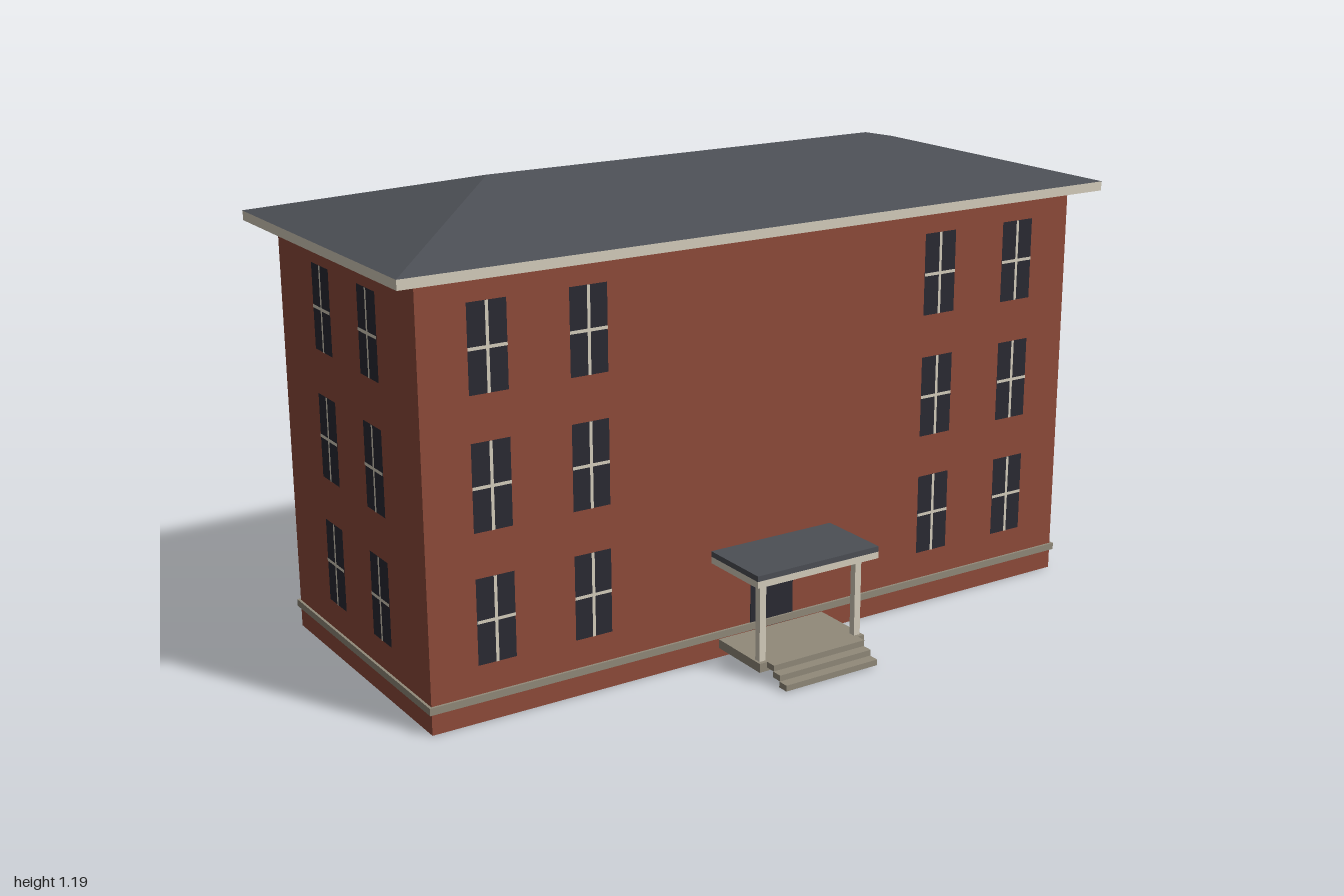
import * as THREE from 'three';

const mat = (name, color, side = THREE.FrontSide) => {
  const m = new THREE.MeshStandardMaterial({ color, side });
  m.name = name;
  return m;
};

export function createModel() {
  const brick = mat('brick', 0x8e4b3a, THREE.DoubleSide);
  const cream = mat('cream trim', 0xd6cebd);
  const stone = mat('stone', 0x918a7a);
  const slate = mat('slate roof', 0x4c4f55);
  const glass = mat('dark glass', 0x2a2a33);

  const model = new THREE.Group();
  model.name = 'building';

  // Box given by its extents on each axis
  function box(name, material, [x0, x1], [y0, y1], [z0, z1], parent = model) {
    const mesh = new THREE.Mesh(new THREE.BoxGeometry(x1 - x0, y1 - y0, z1 - z0), material);
    mesh.position.set((x0 + x1) / 2, (y0 + y1) / 2, (z0 + z1) / 2);
    mesh.name = name;
    parent.add(mesh);
  }

  // Flat panel facing +z
  function panel(name, material, w, h, y, z, parent) {
    const mesh = new THREE.Mesh(new THREE.PlaneGeometry(w, h), material);
    mesh.position.set(0, y, z);
    mesh.name = name;
    parent.add(mesh);
  }

  const W = 0.935, FRONT = 0.281, BACK = -0.473, MID = (FRONT + BACK) / 2;
  const D = FRONT - MID, EAVE = 1.053, ROOF = 1.077;

  // Window: glass pane with a cross of glazing bars
  function addWindow(x, y, z, wall) {
    const g = new THREE.Group();
    g.name = 'window';
    panel('pane', glass, 0.098, 0.21, 0, 0.001, g);
    panel('verticalBar', cream, 0.008, 0.21, 0, 0.0022, g);
    panel('horizontalBar', cream, 0.098, 0.008, 0, 0.0022, g);
    g.position.set(x, y, z);
    wall.add(g);
  }

  // Four walls of a shell open below, each with its base course and windows
  const longRow = [-3, -2, -1, 0, 1, 2, 3].map((i) => i * 0.255);
  const sides = [
    ['front', 0, W, D, longRow.filter((x) => Math.abs(x) > 0.3)],
    ['left', Math.PI / 2, D, W, [-0.128, 0.128]],
    ['back', Math.PI, W, D, longRow],
    ['right', -Math.PI / 2, D, W, [-0.128, 0.128]],
  ];
  for (const [name, turn, half, out, columns] of sides) {
    const wall = new THREE.Group();
    wall.name = name + 'Wall';
    panel('brickwork', brick, 2 * half, EAVE, EAVE / 2, out, wall);
    box('baseCourse', stone, [-half - 0.007, half + 0.007], [0.053, 0.071],
      [out + 0.0005, out + 0.007], wall);
    for (const y of [0.247, 0.566, 0.886]) {
      for (const x of columns) addWindow(x, y, out, wall);
    }
    wall.rotation.y = turn;
    wall.position.z = MID;
    model.add(wall);
  }

  // Eaves
  box('eaves', cream, [-0.999, 0.999], [EAVE, ROOF], [MID - 0.434, MID + 0.434]);

  // Hipped roof: four eave corners and two ridge ends
  const [a, b, c, d] = [[-1, ROOF, MID + 0.435], [1, ROOF, MID + 0.435],
    [1, ROOF, MID - 0.435], [-1, ROOF, MID - 0.435]];
  const l = [-0.56, 1.186, MID], r = [0.56, 1.186, MID];
  const faces = [a, b, r, a, r, l, c, d, l, c, l, r, b, c, r, d, a, l];
  const roofGeo = new THREE.BufferGeometry();
  roofGeo.setAttribute('position', new THREE.Float32BufferAttribute(faces.flat(), 3));
  roofGeo.computeVertexNormals();
  const roof = new THREE.Mesh(roofGeo, slate);
  roof.name = 'roof';
  model.add(roof);

  // Entrance porch
  box('door', glass, [-0.064, 0.064], [0.05, 0.219], [FRONT + 0.0005, FRONT + 0.002]);
  box('porchFloor', stone, [-0.157, 0.157], [0.025, 0.048], [FRONT, 0.457]);
  for (const s of [-1, 1]) {
    box('porchPost', cream, [s * 0.142 - 0.009, s * 0.142 + 0.009], [0.048, 0.253], [0.429, 0.447]);
  }
  box('canopyFascia', cream, [-0.179, 0.179], [0.253, 0.27], [FRONT - 0.001, 0.478]);
  box('canopyRoof', slate, [-0.179, 0.179], [0.27, 0.284], [FRONT, 0.478]);

  // Three overlapping steps
  for (let i = 0; i < 3; i++) {
    const y = 0.034 - i * 0.016, z = 0.456 + i * 0.026;
    box('step', stone, [-0.136, 0.136], [y, y + 0.015], [z, z + 0.029]);
  }

  return model;
}
